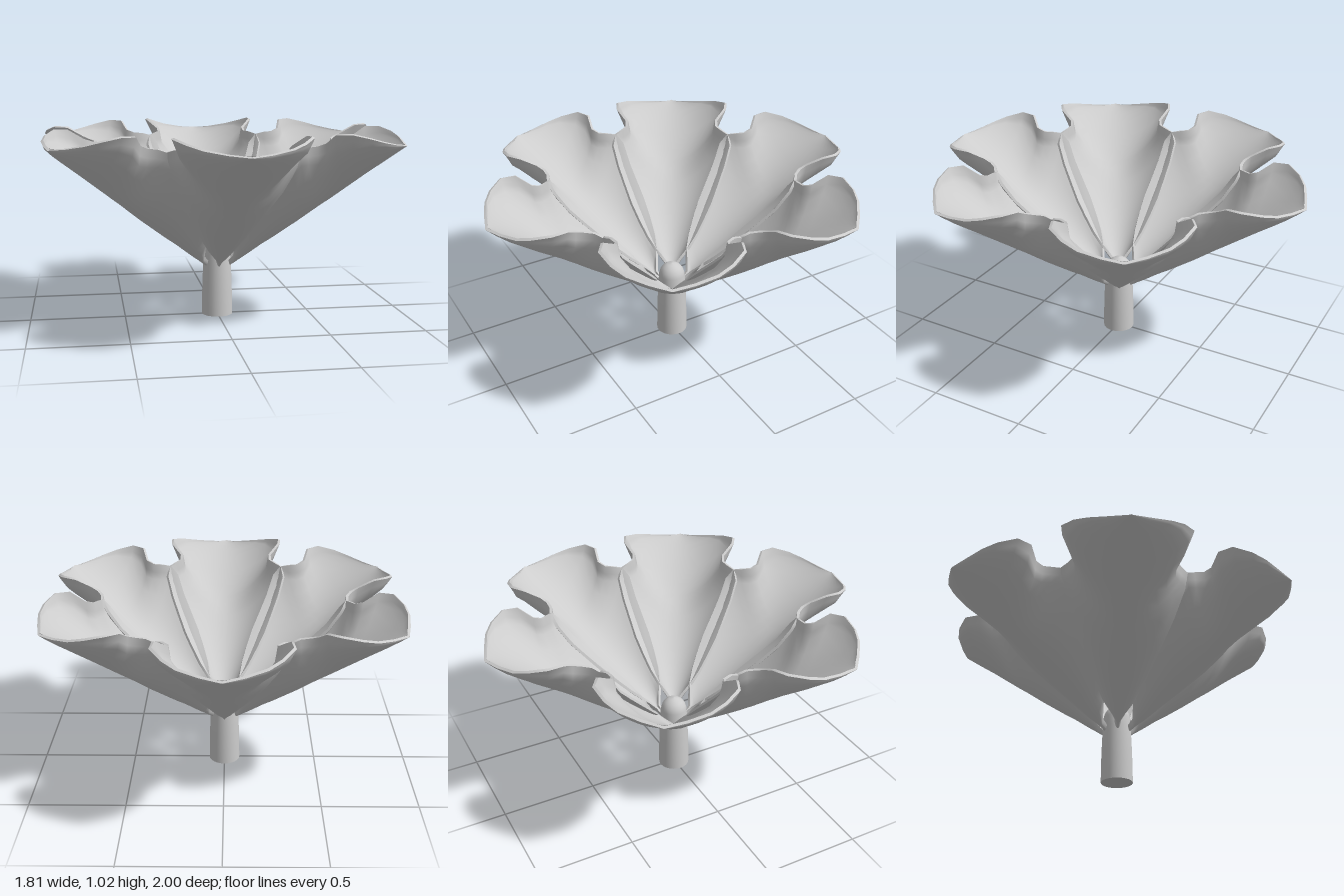
import * as THREE from 'three';

const THICKNESS = 0.014;

// Petal cross-sections: [z, ribY, sideX, sideY, lipX, lipY]
const SECTIONS = [
  [0.07, 0.27, 0.012, 0.29, 0.015, 0.30],
  [0.10, 0.29, 0.015, 0.31, 0.02, 0.33],
  [0.12, 0.305, 0.045, 0.355, 0.055, 0.375],
  [0.145, 0.322, 0.083, 0.40, 0.098, 0.42],
  [0.19, 0.355, 0.11, 0.44, 0.143, 0.475],
  [0.25, 0.40, 0.144, 0.50, 0.19, 0.548],
  [0.31, 0.44, 0.179, 0.565, 0.232, 0.618],
  [0.38, 0.49, 0.219, 0.64, 0.27, 0.698],
  [0.45, 0.54, 0.259, 0.72, 0.307, 0.78],
  [0.51, 0.585, 0.294, 0.81, 0.337, 0.88],
  [0.55, 0.615, 0.30, 0.855, 0.325, 0.93],
  [0.58, 0.637, 0.275, 0.86, 0.288, 0.945],
  [0.62, 0.665, 0.25, 0.86, 0.262, 0.95],
  [0.66, 0.695, 0.245, 0.87, 0.262, 0.965],
  [0.72, 0.74, 0.28, 0.92, 0.315, 1.01],
  [0.80, 0.80, 0.29, 0.945, 0.322, 1.012],
  [0.88, 0.857, 0.24, 0.955, 0.265, 0.99],
  [0.93, 0.893, 0.18, 0.95, 0.20, 0.97],
  [0.97, 0.922, 0.09, 0.943, 0.10, 0.953],
  [1.0, 0.943, 0.004, 0.943, 0.005, 0.944],
];

// Right half of one section: a bowl curve out to the side, then the flared lip
function halfSection([z, ribY, sideX, sideY, lipX, lipY]) {
  const points = [];
  for (let k = 0; k <= 5; k++) {
    const a = k / 5;
    points.push([sideX * a, ribY + (sideY - ribY) * a * a, z]);
  }
  points.push([(sideX + lipX) / 2, (sideY + lipY) / 2, z]);
  points.push([lipX, lipY, z]);
  return points;
}

function indexedGeometry(positions, index) {
  const geometry = new THREE.BufferGeometry();
  geometry.setAttribute('position', new THREE.Float32BufferAttribute(positions, 3));
  geometry.setIndex(index);
  geometry.computeVertexNormals();
  return geometry;
}

// Outer face, inner face raised along its normals, and the rim joining them
function petalGeometries() {
  const positions = [], inward = [], outward = [];
  let columns = 0;
  for (const section of SECTIONS) {
    const half = halfSection(section);
    const mirrored = half.slice(1).reverse().map(([x, y, z]) => [-x, y, z]);
    const row = [...mirrored, ...half];
    columns = row.length;
    positions.push(...row.flat());
  }
  for (let i = 0; i < SECTIONS.length - 1; i++) {
    for (let j = 0; j < columns - 1; j++) {
      const a = i * columns + j, b = a + columns;
      inward.push(a, b, a + 1, b, b + 1, a + 1);
      outward.push(a, a + 1, b, b, a + 1, b + 1);
    }
  }
  const normals = indexedGeometry(positions, inward).getAttribute('normal').array;
  const raised = positions.map((p, k) => p + normals[k] * THICKNESS);

  const edge = [];
  for (let i = 0; i < SECTIONS.length; i++) edge.push(i * columns);
  for (let i = SECTIONS.length - 1; i >= 0; i--) edge.push(i * columns + columns - 1);
  const rimPositions = [], rimIndex = [];
  edge.forEach((v, k) => {
    rimPositions.push(...positions.slice(v * 3, v * 3 + 3), ...raised.slice(v * 3, v * 3 + 3));
    if (k > 0) {
      const a = 2 * k - 2;
      rimIndex.push(a, a + 2, a + 1, a + 1, a + 2, a + 3);
    }
  });
  return {
    Outside: indexedGeometry(positions, outward),
    Inside: indexedGeometry(raised, inward),
    Rim: indexedGeometry(rimPositions, rimIndex),
  };
}

export function createModel() {
  const model = new THREE.Group();
  model.name = 'flower';
  const grey = new THREE.MeshStandardMaterial({ color: 0xcccccc, side: THREE.DoubleSide });
  grey.name = 'pale grey';

  // Six cupped petals whose edges cross those of their neighbours
  const faces = Object.entries(petalGeometries());
  for (let i = 0; i < 6; i++) {
    const petal = new THREE.Group();
    petal.name = 'petal' + (i + 1);
    petal.rotation.y = (i * Math.PI) / 3;
    for (const [name, geometry] of faces) {
      const mesh = new THREE.Mesh(geometry, grey);
      mesh.name = 'petal' + name;
      petal.add(mesh);
    }
    model.add(petal);
  }

  // Tapered stem with a domed top
  const wall = [[0.083, 0], [0.082, 0.1], [0.078, 0.22], [0.074, 0.3], [0.07, 0.36]];
  const dome = [[0.063, 0.385], [0.048, 0.407], [0.026, 0.422], [0, 0.427]];
  const profile = [...wall, ...dome].map(([r, y]) => new THREE.Vector2(r, y));
  const stem = new THREE.Mesh(new THREE.LatheGeometry(profile, 24), grey);
  stem.name = 'stem';
  model.add(stem);

  // Cut end of the stem
  const base = new THREE.Mesh(new THREE.CircleGeometry(0.083, 24), grey);
  base.name = 'stemBase';
  base.rotation.x = Math.PI / 2;
  model.add(base);

  return model;
}
